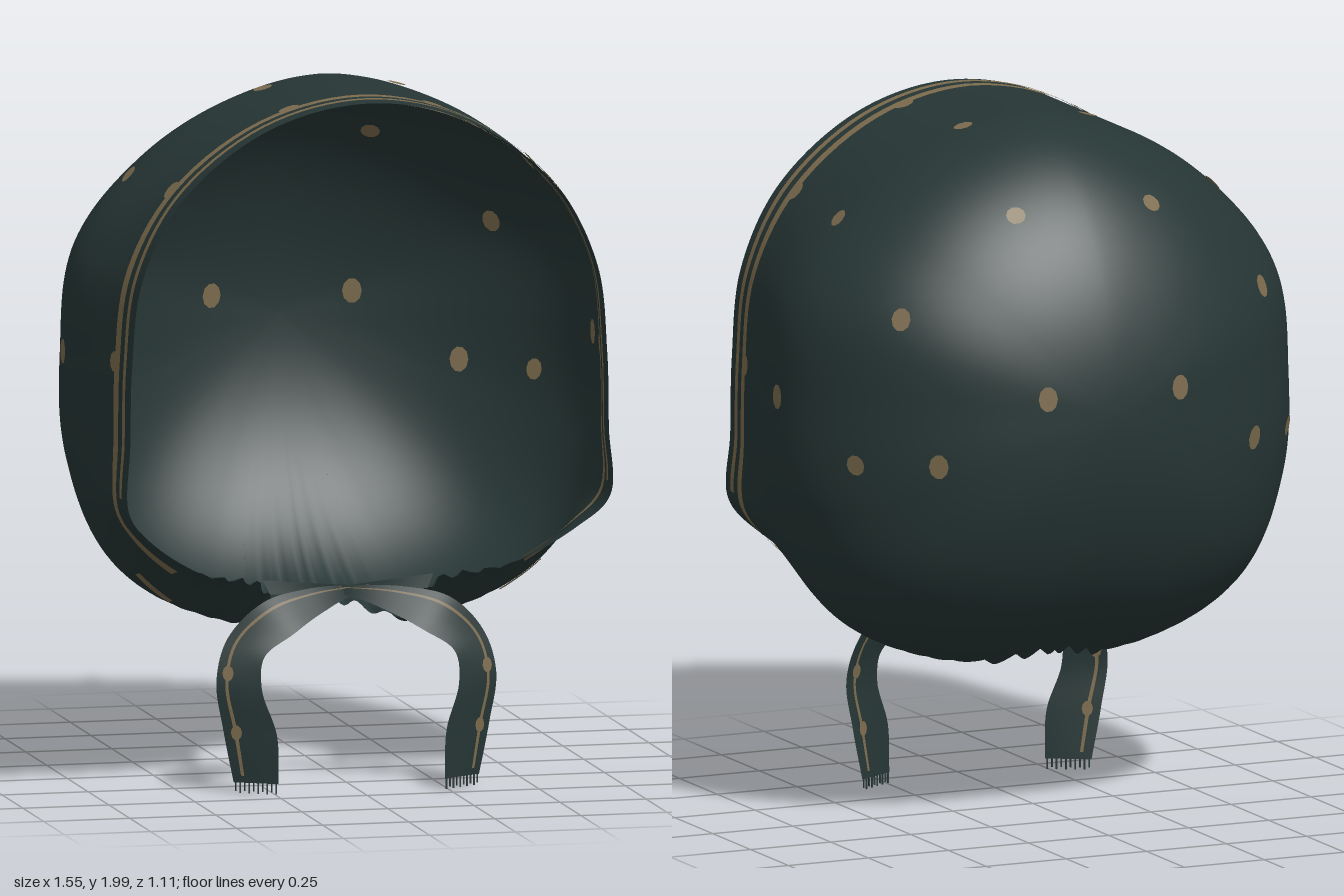
import * as THREE from 'three';

const fabric = new THREE.MeshStandardMaterial({ color: 0x263635, side: THREE.DoubleSide });
fabric.name = 'dark green fabric';
const tan = new THREE.MeshStandardMaterial({ color: 0x7d6c4e, side: THREE.DoubleSide });
tan.name = 'tan print';

const V = (x, y, z) => new THREE.Vector3(x, y, z);
const CY = 1.22, CZ = 0.05, DEPTH = 0.605; // centre and depth of the rounded back

// Fullness of the hood by angle, every 22.5 degrees from crown to nape
const fullness = new THREE.SplineCurve(
  [0.77, 0.757, 0.765, 0.79, 0.77, 0.815, 0.87, 0.838, 0.79].map((r, i) => new THREE.Vector2(i, r)));
const hullRadius = (u) => fullness.getPoint(Math.min(1, Math.abs(u) / Math.PI)).y;

// Open edge: nape, neck corner, cheek, face arch, then mirrored
const half = [
  [0, 0.44, -0.14], [0.12, 0.44, -0.1], [0.19, 0.43, 0], [0.2, 0.45, 0.16], [0.25, 0.57, 0.28],
  [0.45, 0.63, 0.38], [0.62, 0.74, 0.46], [0.7, 0.84, 0.53], [0.695, 1.03, 0.53], [0.69, 1.25, 0.53],
  [0.66, 1.5, 0.535], [0.54, 1.73, 0.54], [0.29, 1.92, 0.545], [0, 1.985, 0.55],
].map((p) => V(...p));
const mirrored = half.slice(1, -1).reverse().map((p) => V(-p.x, p.y, p.z));
const N = half.length + mirrored.length;
const edge = new THREE.CatmullRomCurve3([...half, ...mirrored], true);

// One meridian from the open edge to the middle of the back
function meridian(t) {
  const e = edge.getPoint(((t % 1) + 1) % 1);
  const u = Math.atan2(e.x, e.y - CY);
  const front = Math.max(0, e.z - CZ);
  const a0 = e.z < CZ ? Math.asin((CZ - e.z) / DEPTH) : 0;
  return { u, front, a0, zE: e.z, rE: Math.hypot(e.x, e.y - CY), back: (Math.PI / 2 - a0) * 0.7 };
}

// Point on the hood at a distance s in from the open edge
function hoodPoint(t, s) {
  const m = meridian(t), R = hullRadius(m.u);
  let r, z;
  if (s < m.front) {
    z = m.zE - s;
    r = THREE.MathUtils.lerp(R, m.rE, THREE.MathUtils.smoothstep(z, CZ, m.zE));
  } else {
    const a = m.a0 + (s - m.front) / 0.7;
    r = R * Math.cos(a);
    z = CZ - DEPTH * Math.sin(a);
  }
  // gathers around the neck
  const gather = THREE.MathUtils.smoothstep(Math.abs(m.u), 2.4, 2.75) * Math.exp(-s / 0.13);
  r += 0.012 * gather * Math.sin(Math.abs(m.u) * 75);
  return V(r * Math.sin(m.u), CY + r * Math.cos(m.u), z);
}

function hoodNormal(t, s) {
  const dt = hoodPoint(t + 0.002, s).sub(hoodPoint(t - 0.002, s));
  const ds = hoodPoint(t, s + 0.004).sub(hoodPoint(t, s - 0.004));
  const n = dt.cross(ds).normalize();
  const p = hoodPoint(t, s);
  return n.dot(V(p.x, p.y - CY, p.z - CZ)) < 0 ? n.negate() : n;
}

// Surface grid from a rule f(u, v)
function grid(f, nu, nv) {
  const pos = [], index = [];
  for (let i = 0; i <= nu; i++)
    for (let j = 0; j <= nv; j++) pos.push(...f(i / nu, j / nv).toArray());
  for (let i = 0; i < nu; i++)
    for (let j = 0; j < nv; j++) {
      const a = i * (nv + 1) + j, b = a + nv + 1;
      index.push(a, b, a + 1, b, b + 1, a + 1);
    }
  const g = new THREE.BufferGeometry();
  g.setAttribute('position', new THREE.Float32BufferAttribute(pos, 3));
  g.setIndex(index);
  g.computeVertexNormals();
  return g;
}

function add(parent, name, geometry, material) {
  const mesh = new THREE.Mesh(geometry, material);
  mesh.name = name;
  parent.add(mesh);
  return mesh;
}

// Printed band, on both faces of the cloth
function band(parent, name, i0, i1, s0, s1, segments) {
  for (const off of [0.005, -0.005])
    add(parent, name, grid((u, v) => {
      const t = (i0 + (i1 - i0) * u) / N, s = s0 + (s1 - s0) * v;
      return hoodPoint(t, s).addScaledVector(hoodNormal(t, s), off);
    }, segments, 2), tan);
}

// Printed dot, on both faces of the cloth
function dot(parent, p, n, w, h) {
  for (const off of [0.006, -0.006]) {
    const d = add(parent, 'printedDot', new THREE.CircleGeometry(1, 10), tan);
    d.position.copy(p).addScaledVector(n, off);
    d.lookAt(d.position.clone().addScaledVector(n, Math.sign(off)));
    d.scale.set(w, h, 1);
  }
}

// Ribbon tie between two edge curves, crossing under the chin
function tie(name, sx, dz) {
  const g = new THREE.Group();
  g.name = name;
  const curve = (pts) => new THREE.CatmullRomCurve3(pts.map(([x, y, z]) => V(x * sx, y, z + dz)));
  const outer = curve([[-0.25, 0.59, 0.27], [-0.02, 0.575, 0.31], [0.14, 0.57, 0.345], [0.27, 0.54, 0.37],
    [0.37, 0.44, 0.36], [0.405, 0.32, 0.37], [0.385, 0.18, 0.37], [0.355, 0.03, 0.37]]);
  const inner = curve([[-0.23, 0.55, 0.28], [-0.02, 0.545, 0.31], [0.1, 0.5, 0.36], [0.19, 0.45, 0.4],
    [0.275, 0.39, 0.41], [0.285, 0.3, 0.42], [0.245, 0.17, 0.435], [0.24, 0.03, 0.435]]);
  const at = (t, w) => outer.getPoint(t).lerp(inner.getPoint(t), w);
  add(g, 'ribbon', grid((u, v) => at(u, v), 56, 4), fabric);
  const normal = (t) => {
    const along = at(Math.min(1, t + 0.01), 0.5).sub(at(t - 0.01, 0.5));
    return along.cross(at(t, 1).sub(at(t, 0))).normalize();
  };
  for (const off of [0.004, -0.004])
    add(g, 'ribbonStitching', grid((u, v) => {
      const t = 0.12 + 0.86 * u;
      return at(t, 0.2 + 0.07 * v).addScaledVector(normal(t), off);
    }, 48, 1), tan);
  for (const t of [0.68, 0.86]) dot(g, at(t, 0.25), normal(t), 0.016, 0.022);
  // frayed end
  for (let i = 0; i < 10; i++) {
    const h = 0.024 + 0.006 * (i % 2);
    add(g, 'fringeThread', new THREE.BoxGeometry(0.004, h, 0.004), fabric)
      .position.copy(at(1, (i + 0.5) / 10)).add(V(0, -h / 2, 0));
  }
  return g;
}

export function createModel() {
  const model = new THREE.Group();
  model.name = 'bonnet';

  // Hood
  add(model, 'hood', grid((t, v) => {
    const m = meridian(t);
    return hoodPoint(t, v * (m.front + m.back));
  }, 312, 44), fabric);

  // Bands along the face edge, with half dots behind them
  const trim = new THREE.Group();
  trim.name = 'faceTrim';
  band(trim, 'frontBand', 7.2, N - 7.2, 0.042, 0.066, 90);
  band(trim, 'rearBand', 5.2, N - 5.2, 0.096, 0.13, 110);
  for (const i of [9, 11, 12.3])
    for (const k of [i, N - i])
      dot(trim, hoodPoint(k / N, 0.13), hoodNormal(k / N, 0.13), 0.03, 0.03);
  band(trim, 'gatherStreak', 4.8, 5.4, 0.24, 0.265, 8);
  band(trim, 'gatherStreak', N - 5.4, N - 4.8, 0.24, 0.265, 8);
  model.add(trim);

  // Dots over the crown, sides and back
  const dots = new THREE.Group();
  dots.name = 'printedDots';
  const spots = [[0.205, 1.28, 1.3], [0.21, 1.77, 1], [0.49, 1.09, 1.3], [0.56, 1.5, 1.2],
    [0.67, 1.08, 1.1], [0.58, 1.725, 1], [0.2, 1.98, 1], [0.77, 1.23, 1.3]];
  for (const [x, y, stretch] of spots)
    for (const side of [1, -1]) {
      const u = Math.atan2(x, y - CY), R = hullRadius(u);
      const a = Math.acos(Math.min(1, Math.hypot(x, y - CY) / R));
      const r = R * Math.cos(a), dz = -DEPTH * Math.sin(a);
      const p = V(side * r * Math.sin(u), CY + r * Math.cos(u), CZ + dz);
      const n = V(p.x / R ** 2, (p.y - CY) / R ** 2, dz / DEPTH ** 2).normalize();
      dot(dots, p, n, 0.028, 0.028 * stretch);
    }
  model.add(dots);

  // Ties
  model.add(tie('leftTie', 1, 0.006), tie('rightTie', -1, -0.006));
  return model;
}
